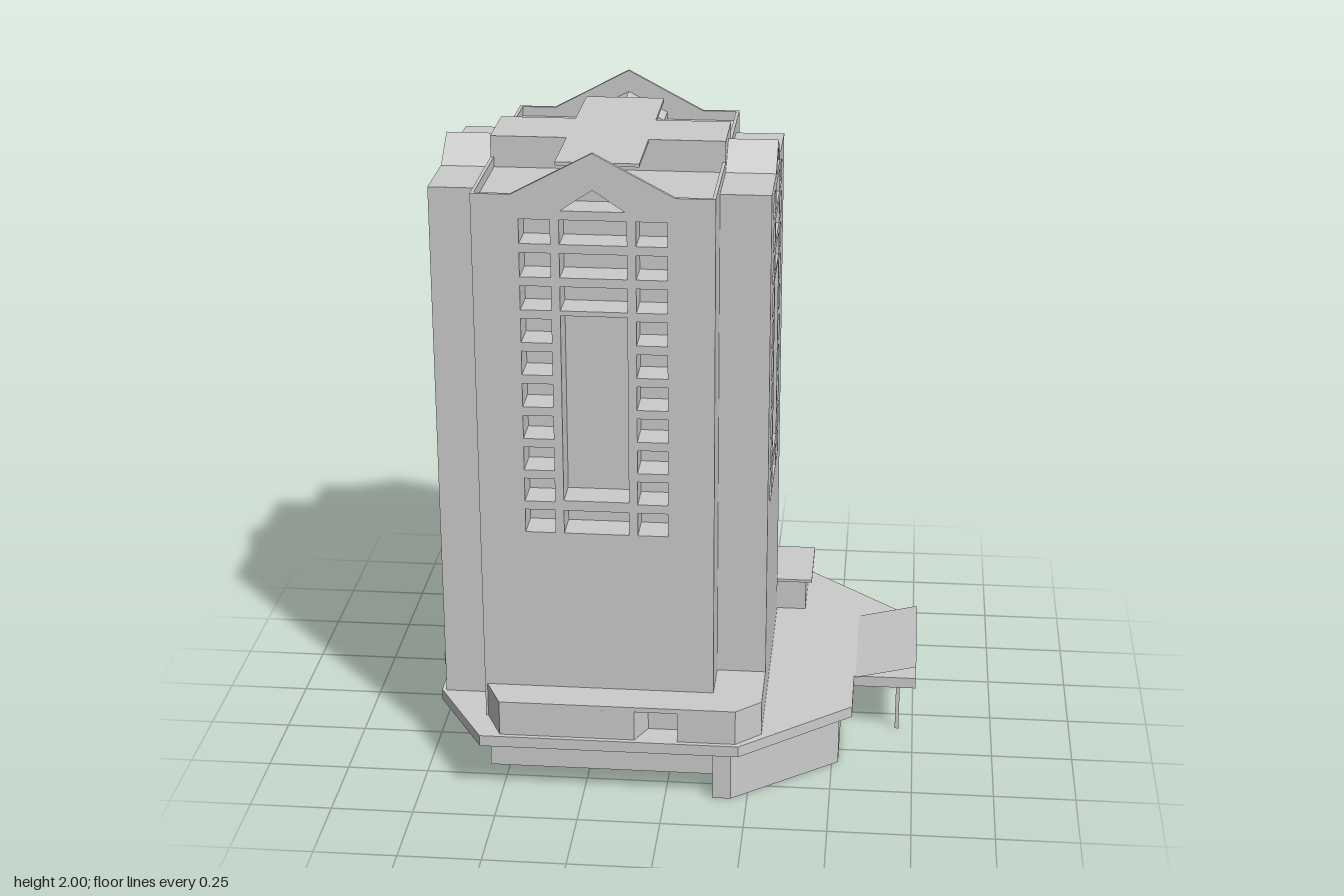
import * as THREE from 'three';

const grey = new THREE.MeshStandardMaterial({ color: 0xcccccc, flatShading: true });
const thin = new THREE.MeshStandardMaterial({ color: 0xcccccc, flatShading: true, side: THREE.DoubleSide });

function add(parent, name, geometry, material = grey) {
  const mesh = new THREE.Mesh(geometry, material);
  mesh.name = name;
  parent.add(mesh);
  return mesh;
}

// Box given by its limits on each axis
function block(parent, name, x0, x1, y0, y1, z0, z1) {
  const mesh = add(parent, name, new THREE.BoxGeometry(x1 - x0, y1 - y0, z1 - z0));
  mesh.position.set((x0 + x1) / 2, (y0 + y1) / 2, (z0 + z1) / 2);
}

const toPoints = (list) => list.map(([x, y]) => new THREE.Vector2(x, y));

function extrude(outline, holes, depth) {
  const shape = new THREE.Shape(toPoints(outline));
  shape.holes = holes.map((h) => new THREE.Path(toPoints(h)));
  return new THREE.ExtrudeGeometry(shape, { depth, bevelEnabled: false });
}

// Upright plate in the xy plane, with holes, running from z0 to z1
function plate(parent, name, outline, holes, z0, z1) {
  add(parent, name, extrude(outline, holes, z1 - z0).translate(0, 0, z0));
}

// Flat slab from an [x, z] plan, with holes, running from y0 to y1
function slab(parent, name, plan, y0, y1, holes = []) {
  const flip = (list) => list.map(([x, z]) => [x, -z]);
  const geometry = extrude(flip(plan), holes.map(flip), y1 - y0);
  add(parent, name, geometry.rotateX(-Math.PI / 2).translate(0, y0, 0));
}

const rect = (x0, x1, y0, y1) => [[x0, y0], [x0, y1], [x1, y1], [x1, y0]];

// Cross plan: main body half sizes (a, b), wing half sizes (c, d)
const cross = (a, b, c, d) => [[-a, b], [a, b], [a, d], [c, d], [c, -d], [a, -d],
  [a, -b], [-a, -b], [-a, -d], [-c, -d], [-c, d], [-a, d]];

// Window openings and pediment shared by all four facades
function facadeHoles() {
  const holes = [[[-0.093, 1.83], [0, 1.893], [0.093, 1.83]]];
  for (let i = 0; i < 10; i++) {
    const y = 0.83 + i * 0.1;
    holes.push(rect(-0.213, -0.123, y, y + 0.073), rect(0.123, 0.213, y, y + 0.073));
    if (i === 0 || i > 6) holes.push(rect(-0.097, 0.097, y, y + 0.073));
  }
  holes.push(rect(-0.097, 0.097, 0.935, 1.515));
  return holes;
}

// Wall outline from y0 up to a flat eave with a central gable
const gabled = (half, y0, eave, gableHalf, gableEave, peak) => [[-half, y0], [half, y0], [half, eave],
  [gableHalf, eave], [gableHalf, gableEave], [0, peak], [-gableHalf, gableEave], [-gableHalf, eave], [-half, eave]];

export function createModel() {
  const model = new THREE.Group();
  model.name = 'towerBuilding';

  // Tower: a hollow shell, open underneath, with deep windows on all four sides
  const tower = new THREE.Group();
  tower.name = 'tower';
  tower.position.set(-0.21, 0, 0.015);
  model.add(tower);
  const hollow = cross(0.34, 0.463, 0.478, 0.323);
  slab(tower, 'lowerShell', cross(0.35, 0.473, 0.488, 0.333), 0.17, 0.82, [hollow]);
  slab(tower, 'upperShell', cross(0.35, 0.385, 0.4, 0.333), 0.82, 1.84, [cross(0.34, 0.375, 0.39, 0.323)]);
  slab(tower, 'roof', cross(0.35, 0.385, 0.4, 0.333), 1.84, 1.845);

  for (const turn of [0, Math.PI]) {
    const main = new THREE.Group();
    main.name = turn ? 'backFacade' : 'frontFacade';
    main.rotation.y = turn;
    tower.add(main);
    plate(main, 'gableWall', [[-0.35, 0.17], [0.35, 0.17], [0.35, 1.875], [0.235, 1.875],
      [0, 2], [-0.235, 1.875], [-0.35, 1.875]], facadeHoles(), 0.473, 0.485);
    plate(main, 'windowWall', gabled(0.35, 0.82, 1.845, 0.122, 1.868, 1.932), facadeHoles(), 0.385, 0.473);
    plate(main, 'gableBack', [[-0.122, 1.845], [0.122, 1.845], [0.122, 1.868], [0, 1.932],
      [-0.122, 1.868]], [], 0.37, 0.385);

    const wing = new THREE.Group();
    wing.name = turn ? 'rightWing' : 'leftWing';
    wing.rotation.y = turn + Math.PI / 2;
    tower.add(wing);
    const gable = [[0.11, 1.845], [0, 1.918], [-0.11, 1.845]];
    const wingOutline = (y0) => [[-0.333, y0], [0.333, y0], [0.333, 1.845], ...gable, [-0.333, 1.845]];
    plate(wing, 'wingFacade', wingOutline(0.17), facadeHoles(), 0.488, 0.5);
    plate(wing, 'wingWindowWall', wingOutline(0.82), facadeHoles(), 0.4, 0.488);
    plate(wing, 'wingGableRoof', gable, [], 0.35, 0.4);

    // Side parapet of the main roof
    const s = turn ? -1 : 1;
    block(tower, 'parapet', s * 0.345 - 0.005, s * 0.345 + 0.005, 1.845, 1.875, -0.473, 0.473);
  }

  // Cross-shaped roof deck
  block(tower, 'roofHall', -0.35, 0.35, 1.845, 1.94, -0.11, 0.11);
  for (const s of [-1, 1]) {
    block(tower, 'roofDeck', -0.122, 0.122, 1.93, 1.94, s * 0.24 - 0.13, s * 0.24 + 0.13);
  }

  // Front podium block with an entrance niche
  const podium = [[0.135, 0.34], [0.135, 0.485], [-0.56, 0.485], [-0.5, 0.615]];
  const podiumEnd = [[0.215, 0.615], [0.29, 0.545], [0.29, 0.34]];
  const niche = [[-0.09, 0.615], [-0.055, 0.54], [0.04, 0.54], [0.04, 0.615]];
  slab(model, 'podium', [...podium, ...niche, ...podiumEnd], 0.2, 0.3);
  slab(model, 'podiumRoof', [...podium, ...podiumEnd], 0.3, 0.315);

  // Plant rooms at the back, wrapped round the tower corner
  const plantPlan = (x0, x1, z0, z1) => [[x0, z0], [x1, z0], [x1, z1], [0.135, z1], [0.135, -0.465], [x0, -0.465]];
  slab(model, 'plantRoom', plantPlan(0.09, 0.385, -0.565, -0.33), 0.2, 0.308);
  slab(model, 'plantRoomRoof', plantPlan(0.075, 0.405, -0.58, -0.317), 0.308, 0.317);
  block(model, 'smallPlantRoom', -0.085, 0.09, 0.2, 0.25, -0.555, -0.465);
  block(model, 'smallPlantRoomRoof', -0.1, 0.08, 0.25, 0.258, -0.57, -0.465);

  // Wide canopy round the foot of the tower, with a tilted sheet at one end
  slab(model, 'canopy', [[-0.575, -0.63], [-0.76, -0.335], [-0.76, 0.105], [-0.725, 0.105],
    [-0.725, 0.345], [-0.56, 0.63], [0.225, 0.63], [0.56, 0.345], [0.56, 0.14], [0.755, 0.14],
    [0.755, -0.29], [0.39, -0.63]], 0.17, 0.205, [hollow.map(([x, z]) => [x - 0.21, z + 0.015])]);
  const sheet = add(model, 'canopySheet', new THREE.PlaneGeometry(0.195, 0.44).rotateX(-Math.PI / 2), thin);
  sheet.position.set(0.66, 0.228, -0.07);
  sheet.rotation.z = 0.23;

  // Ground floor: thin walls, open underneath
  const walls = new THREE.Group();
  walls.name = 'groundFloor';
  model.add(walls);
  const plan = [[-0.56, 0.44], [0.145, 0.44], [0.145, 0.585], [0.2, 0.585], [0.52, 0.33], [0.52, 0.09],
    [0.44, 0.09], [0.44, -0.26], [0.62, -0.26], [0.62, -0.21], [0.7, -0.21], [0.7, -0.26],
    [0.39, -0.58], [0.19, -0.58], [0.19, -0.5], [-0.5, -0.5], [-0.5, -0.58], [-0.56, -0.58],
    [-0.71, -0.33], [-0.71, 0.1], [-0.56, 0.1]];
  plan.forEach(([x0, z0], i) => {
    const [x1, z1] = plan[(i + 1) % plan.length];
    const wall = add(walls, 'groundWall', new THREE.PlaneGeometry(Math.hypot(x1 - x0, z1 - z0), 0.17), thin);
    wall.position.set((x0 + x1) / 2, 0.085, (z0 + z1) / 2);
    wall.rotation.y = Math.atan2(z0 - z1, x1 - x0);
  });

  // Slim posts under the canopy
  for (const [x, z] of [[0.7, 0.09], [-0.057, -0.605], [-0.387, -0.605]]) {
    block(model, 'post', x - 0.006, x + 0.006, 0, 0.17, z - 0.006, z + 0.006);
  }
  return model;
}
